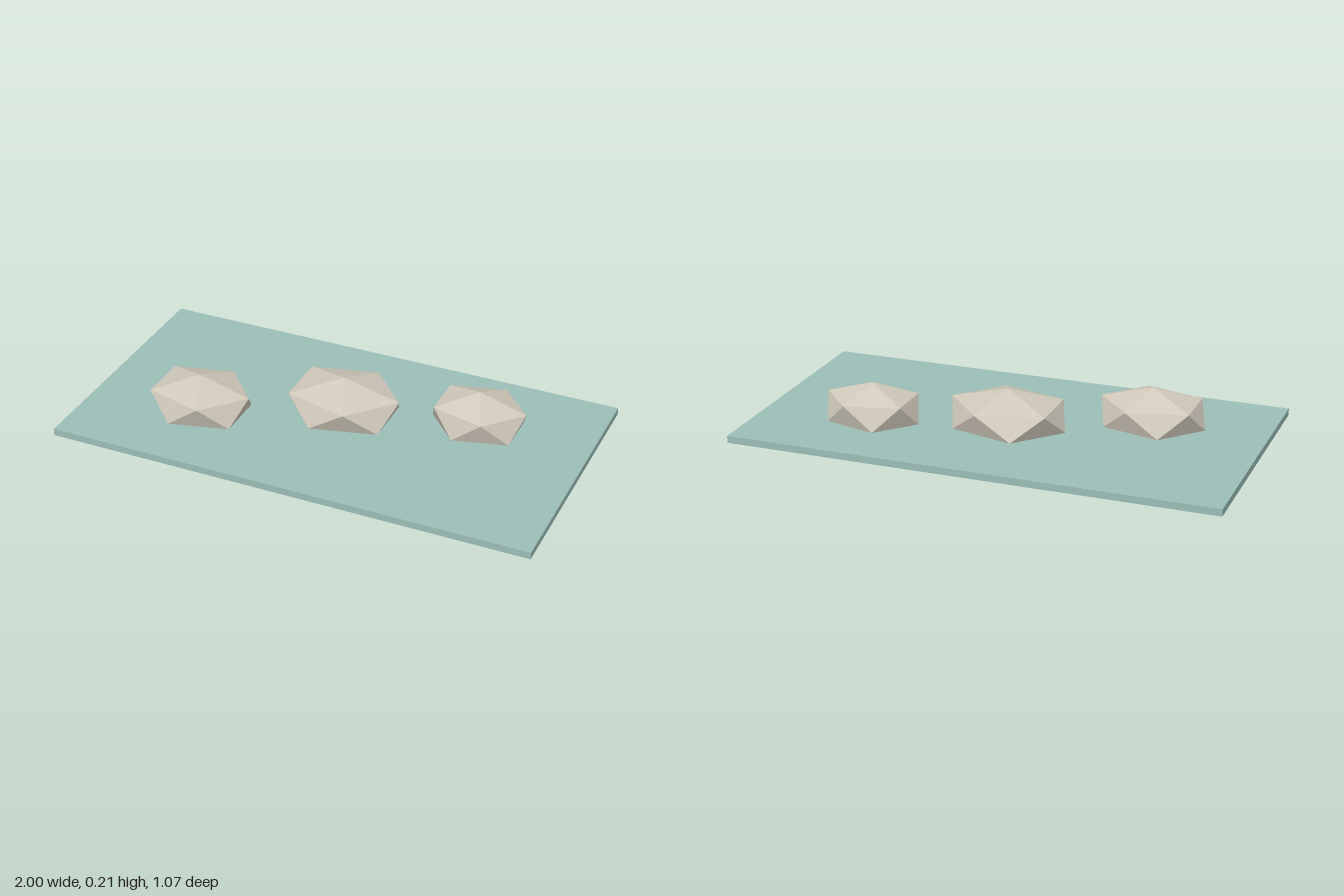
import * as THREE from 'three';

export function createModel() {
  const group = new THREE.Group();
  const water = new THREE.MeshStandardMaterial({ color: 0x9bbdb7 });
  water.name = 'pale water green';
  const stone = new THREE.MeshStandardMaterial({ color: 0xcfc8ba });
  stone.name = 'warm stone grey';

  // Thin flat sheet the stones sit in
  const slab = new THREE.Mesh(new THREE.BoxGeometry(2, 0.029, 1.066), water);
  slab.name = 'waterSheet';
  slab.position.y = 0.037;
  group.add(slab);

  // Flattened faceted stone: an icosahedron stood on a corner
  const addStone = (name, x, z, radius) => {
    const geometry = new THREE.IcosahedronGeometry(1, 0);
    geometry.rotateX(-Math.atan((1 + Math.sqrt(5)) / 2));
    geometry.rotateY(Math.PI / 2);
    geometry.scale(radius, 0.1067, radius * 0.8);
    const mesh = new THREE.Mesh(geometry, stone);
    mesh.name = name;
    mesh.position.set(x, 0.1067, z);
    group.add(mesh);
  };
  addStone('rightStone', -0.533, 0.16, 0.24);
  addStone('middleStone', 0, -0.055, 0.2667);
  addStone('leftStone', 0.533, -0.174, 0.2187);

  return group;
}
